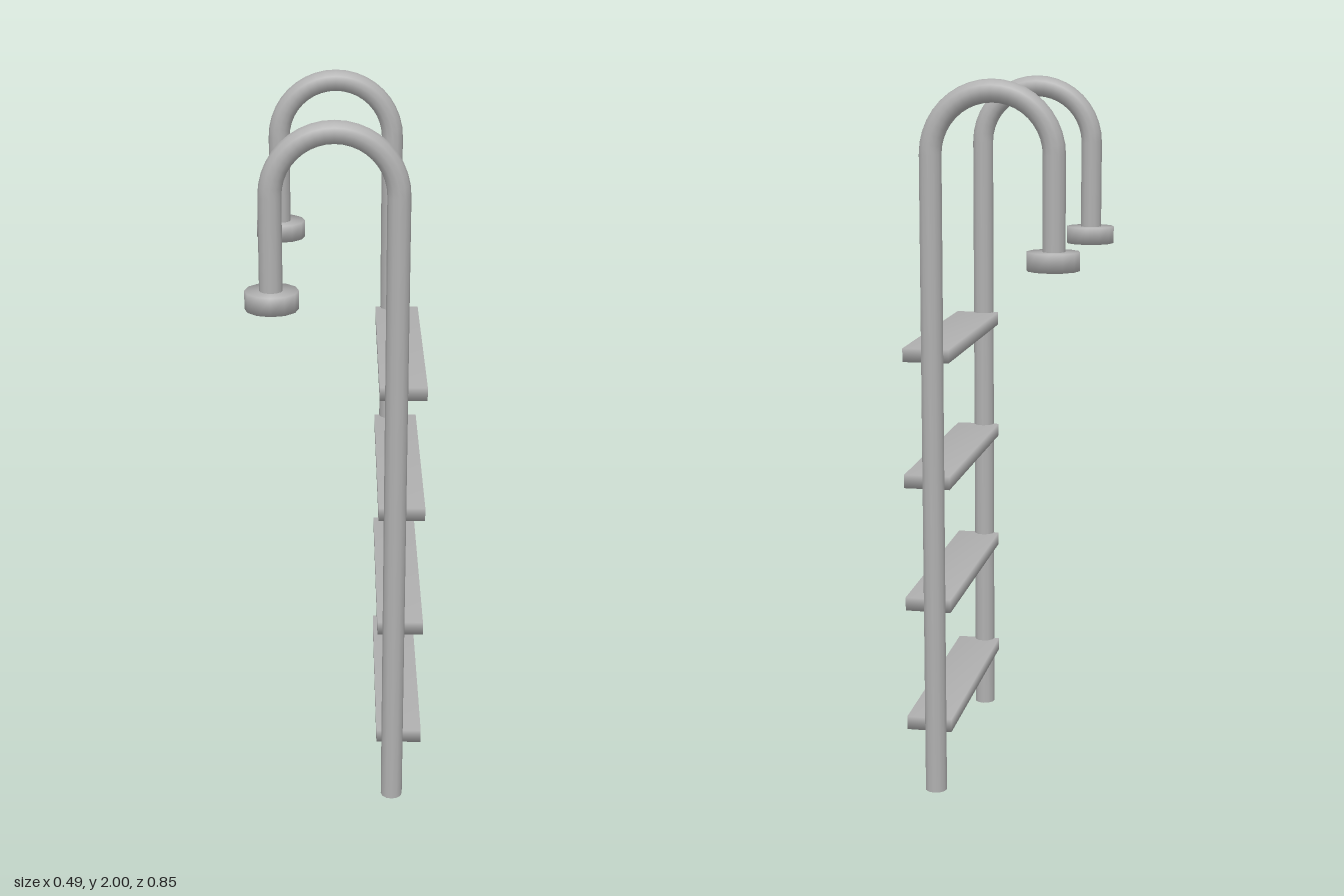
import * as THREE from 'three';
import { mergeVertices } from 'three/addons/utils/BufferGeometryUtils.js';

const RAIL_R = 0.031, ARCH_R = 0.167, ARCH_X = -0.007, ARCH_Y = 1.802, RAIL_Z = 0.355;

// Weld corners so the shading runs softly around the edges
function soften(geometry) {
  geometry.deleteAttribute('normal');
  geometry.deleteAttribute('uv');
  const welded = mergeVertices(geometry, 1e-4);
  welded.computeVertexNormals();
  return welded;
}

export function createModel() {
  const metal = new THREE.MeshStandardMaterial({ color: 0xb0b0b0 });
  metal.name = 'grey metal';
  const model = new THREE.Group();
  model.name = 'poolLadder';

  function add(parent, name, geometry, x, y, z) {
    const mesh = new THREE.Mesh(geometry, metal);
    mesh.name = name;
    mesh.position.set(x, y, z);
    parent.add(mesh);
  }

  // Upright tube between two heights
  const tube = (y0, y1) => new THREE.CylinderGeometry(RAIL_R, RAIL_R, y1 - y0, 12);

  // Two hooked handrails, each with a mounting flange
  for (const [side, z] of [['left', RAIL_Z], ['right', -RAIL_Z]]) {
    const rail = new THREE.Group();
    rail.name = side === 'left' ? 'frontRail' : 'backRail';
    rail.position.z = z;
    add(rail, 'post', tube(0, ARCH_Y), ARCH_X + ARCH_R, ARCH_Y / 2, 0);
    add(rail, 'arch', new THREE.TorusGeometry(ARCH_R, RAIL_R, 12, 20, Math.PI), ARCH_X, ARCH_Y, 0);
    add(rail, 'hookEnd', tube(1.51, ARCH_Y), ARCH_X - ARCH_R, (1.51 + ARCH_Y) / 2, 0);
    add(rail, 'flange', soften(new THREE.CylinderGeometry(0.072, 0.072, 0.05, 12)), -0.172, 1.525, 0);
    model.add(rail);
  }

  // Four flat treads
  const tread = soften(new THREE.BoxGeometry(0.129, 0.038, RAIL_Z * 2));
  for (let i = 0; i < 4; i++) add(model, 'tread', tread, 0.179, 0.194 + i * 0.355, 0);

  return model;
}
